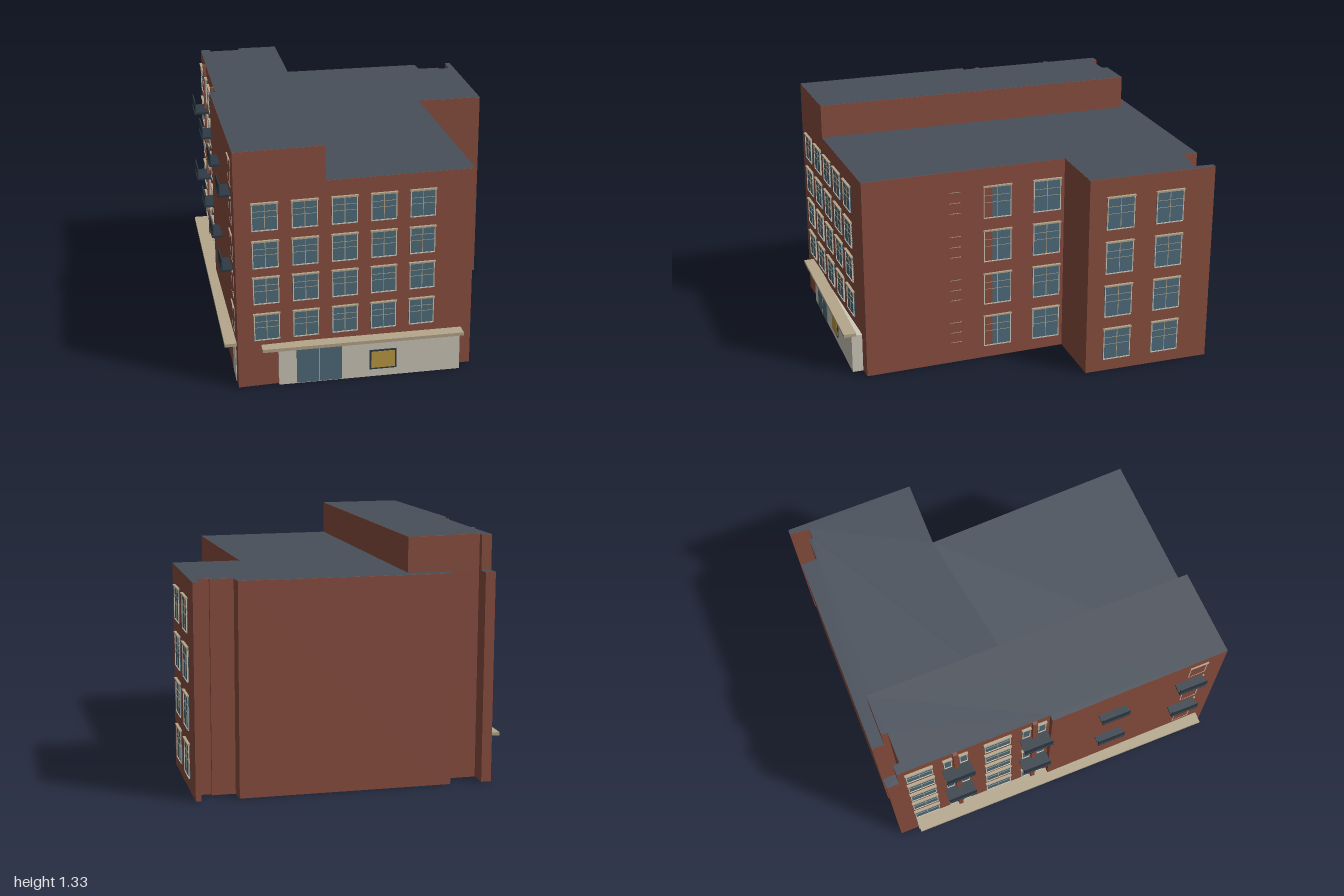
import * as THREE from 'three';

const mat = (color, side = THREE.FrontSide) => new THREE.MeshStandardMaterial({ color, side });
const M = {
  brick: mat(0x8b4f40), roof: mat(0x484f5a), glass: mat(0x4f6d7c), cream: mat(0xd0cabc),
  tan: mat(0xb5a78c), dark: mat(0x2f3b45), yellow: mat(0xbf9d45), blue: mat(0x2b3a68),
};

function box(parent, name, m, w, h, d, x, y, z) {
  const b = new THREE.Mesh(new THREE.BoxGeometry(w, h, d), m);
  b.name = name;
  b.position.set(x, y, z);
  parent.add(b);
  return b;
}

// Brick prism over an [x, z] outline, closed by a roof surface
function block(parent, name, outline, y0, y1) {
  const shape = new THREE.Shape(outline.map(([x, z]) => new THREE.Vector2(x, -z)));
  const walls = new THREE.Mesh(new THREE.ExtrudeGeometry(shape, { depth: y1 - y0, bevelEnabled: false }), M.brick);
  walls.name = name + 'Walls';
  walls.rotation.x = -Math.PI / 2;
  walls.position.y = y0;
  const roof = new THREE.Mesh(new THREE.ShapeGeometry(shape), M.roof);
  roof.name = name + 'Roof';
  roof.rotation.x = -Math.PI / 2;
  roof.position.y = y1 + 0.001;
  parent.add(walls, roof);
}

// Framed window facing +z, its back at z = 0
function makeWindow(w, h, bars = true) {
  const g = new THREE.Group();
  const t = 0.005;
  g.name = 'window';
  box(g, 'glass', M.glass, w, h, 0.006, 0, 0, 0.003);
  for (const s of [-1, 1]) {
    box(g, 'frameSide', M.cream, t, h, 0.01, s * (w - t) / 2, 0, 0.005);
    box(g, 'frameRail', M.cream, w, t, 0.01, 0, s * (h - t) / 2, 0.005);
  }
  if (bars) {
    box(g, 'mullion', M.tan, 0.004, h, 0.008, 0, 0, 0.004);
    for (const f of [0, 0.22]) box(g, 'transom', M.tan, w, 0.002, 0.008, 0, h * f, 0.004);
  }
  box(g, 'lintel', M.tan, w + 0.008, 0.008, 0.016, 0, h / 2 + 0.002, 0.008);
  return g;
}

function placeWindow(parent, w, h, x, y, z, turn, bars) {
  const g = makeWindow(w, h, bars);
  g.position.set(x, y, z);
  g.rotation.y = turn;
  parent.add(g);
}

// Framed display panel facing the given direction
function poster(parent, m, w, h, x, y, z, turn) {
  const g = new THREE.Group();
  g.name = 'displayCase';
  box(g, 'caseFrame', M.dark, w, h, 0.008, 0, 0, 0);
  box(g, 'casePanel', m, w - 0.018, h - 0.018, 0.008, 0, 0, 0.002);
  g.position.set(x, y, z);
  g.rotation.y = turn;
  parent.add(g);
}

export function createModel() {
  const root = new THREE.Group();
  root.name = 'building';

  // Main body and raised strip along the right-hand street side
  block(root, 'mainBlock', [
    [-0.79, 0.945], [0.49, 0.89], [0.46, -0.27], [0.835, -0.27], [0.835, -1], [0.805, -1],
    [0.80, -0.89], [0.735, -0.89], [0.735, -0.91], [0.61, -0.91], [0.605, -1], [-0.54, -1],
    [-0.54, -0.895], [-0.715, -0.895], [-0.715, -1], [-0.77, -1], [-0.77, -0.07], [-0.802, -0.07],
  ], 0, 1.14);
  block(root, 'upperStrip', [
    [-0.79, 0.945], [-0.31, 0.9244], [-0.31, -0.93], [-0.54, -0.93], [-0.54, -0.895], [-0.715, -0.895],
    [-0.715, -0.93], [-0.77, -0.93], [-0.77, -0.07], [-0.802, -0.07],
  ], 1.14, 1.33);

  // Front windows follow the slightly slanted front wall
  const slant = Math.atan2(0.055, 1.28);
  const rows = [0.345, 0.555, 0.76, 0.97];
  for (const y of rows)
    for (let i = 0; i < 5; i++) {
      const x = -0.633 + i * 0.2105;
      placeWindow(root, 0.138, 0.15, x, y, 0.945 - (x + 0.79) * 0.043 - 0.001, slant);
    }

  // Left side windows, on the wing and the recessed wall
  for (let r = 0; r < 4; r++) {
    const y = 0.162 + r * 0.259;
    for (const z of [-0.45, -0.738]) placeWindow(root, 0.16, 0.185, 0.834, y, z, Math.PI / 2);
    for (const z of [0.125, -0.165]) placeWindow(root, 0.16, 0.185, 0.465, y, z, Math.PI / 2);
    // Sill ends that just break through the wall
    for (const dy of [-0.04, 0.02, 0.082]) box(root, 'sillEnd', M.tan, 0.01, 0.003, 0.065, 0.473, y + dy, 0.37);
  }

  // Front entrance: pale panel, double doors, display case and canopy
  box(root, 'entrancePanel', M.cream, 0.99, 0.222, 0.06, -0.08, 0.111, 0.925);
  for (const s of [-1, 1]) box(root, 'door', M.glass, 0.12, 0.205, 0.008, -0.357 + s * 0.062, 0.107, 0.955);
  box(root, 'doorPost', M.tan, 0.005, 0.205, 0.01, -0.357, 0.107, 0.955);
  poster(root, M.yellow, 0.148, 0.115, -0.01, 0.102, 0.956, 0);
  box(root, 'frontCanopy', M.tan, 1.09, 0.018, 0.07, -0.12, 0.231, 0.965);

  // Right side ground floor: pale panels, display cases and long canopy
  const turn = -Math.PI / 2;
  box(root, 'sidePanel', M.cream, 0.03, 0.222, 0.82, -0.772, 0.111, -0.48);
  box(root, 'sidePanel', M.cream, 0.03, 0.222, 0.13, -0.78, 0.111, 0.8);
  for (const z of [-0.61, -0.22]) poster(root, M.blue, 0.15, 0.115, -0.787, 0.11, z, turn);
  for (const z of [0.16, 0.52]) poster(root, M.blue, 0.14, 0.115, -0.8, 0.11, z, turn);
  box(root, 'sideCanopy', M.tan, 0.09, 0.018, 1.79, -0.81, 0.231, 0.005);

  // Right side windows, brick piers between narrow lights
  for (const y of [...rows, 1.18]) {
    for (const z of [-0.815, -0.37]) placeWindow(root, 0.15, 0.15, -0.769, y, z, turn);
    for (const z of [-0.61, -0.16])
      for (const s of [-1, 1]) placeWindow(root, 0.045, 0.15, -0.769, y, z + s * 0.045, turn, false);
    placeWindow(root, 0.1, 0.15, -0.783, y, 0.79, turn);
  }
  for (const z of [-0.61, -0.16]) box(root, 'pier', M.brick, 0.02, 1.09, 0.025, -0.778, 0.785, z);

  // Balconies with upright outer rail panels
  for (const y of [0.635, 1.055])
    for (const z of [-0.61, -0.16, 0.293, 0.75]) {
      const g = new THREE.Group();
      g.name = 'balcony';
      box(g, 'balconyFloor', M.dark, 0.085, 0.012, 0.162, -0.8125, y, z);
      box(g, 'balconyRail', M.dark, 0.006, 0.07, 0.162, -0.849, y + 0.035, z);
      root.add(g);
    }

  return root;
}
